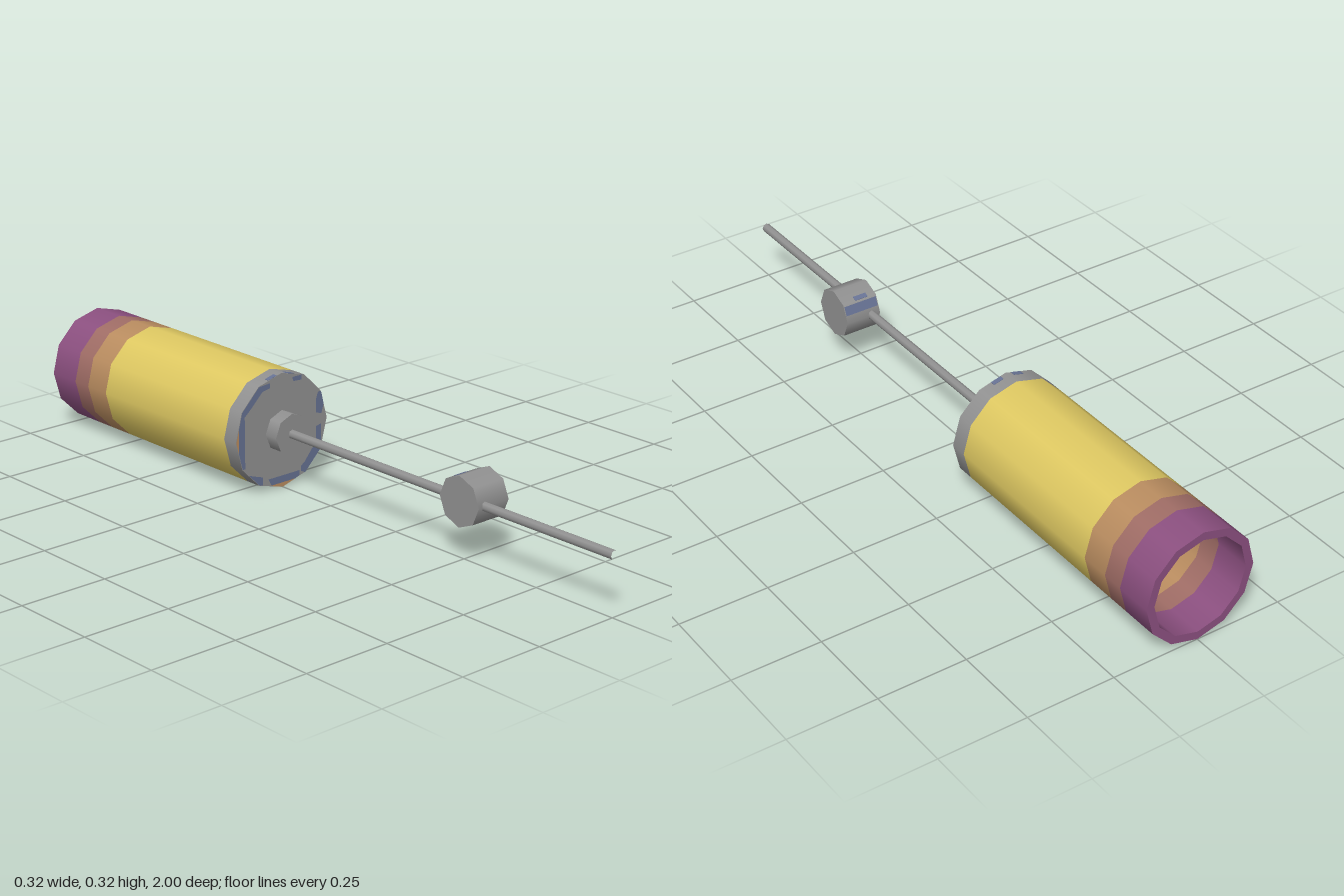
import * as THREE from 'three';

const AXIS_Y = 0.162, OUTER = 0.161, INNER = 0.138, FRONT = -0.195;

function makeMaterial(name, color) {
  const m = new THREE.MeshStandardMaterial({ color });
  m.name = name;
  return m;
}

export function createModel() {
  const group = new THREE.Group();
  const grey = makeMaterial('steel grey', 0x929292);
  const yellow = makeMaterial('yellow', 0xdfc962);
  const tan = makeMaterial('tan', 0xba8d60);
  const mauve = makeMaterial('mauve', 0xa06d66);
  const purple = makeMaterial('purple', 0x8c5080);
  const blue = makeMaterial('slate blue', 0x677293);

  const add = (name, geometry, material, x = 0, y = AXIS_Y, z = 0) => {
    const mesh = new THREE.Mesh(geometry, material);
    mesh.name = name;
    mesh.position.set(x, y, z);
    group.add(mesh);
    return mesh;
  };

  // solid or open cylinder lying along z between two depths
  const along = (r, z0, z1, sides, open = false) =>
    new THREE.CylinderGeometry(r, r, z1 - z0, sides, 1, open)
      .rotateX(Math.PI / 2).translate(0, 0, (z0 + z1) / 2);
  // twelve-sided wall: faces outward when run forward, inward when run backward
  const wall = (r, from, to) => new THREE.LatheGeometry(
    [new THREE.Vector2(r, from), new THREE.Vector2(r, to)], 12).rotateX(Math.PI / 2);

  // hollow barrel in colour bands, front to back
  const bands = [
    ['frontBand', grey, -0.243, FRONT],
    ['barrel', yellow, -0.757, -0.243],
    ['tanBand', tan, -0.838, -0.757],
    ['mauveBand', mauve, -0.897, -0.838],
    ['mouthBand', purple, -1, -0.897],
  ];
  bands.forEach(([name, material, z0, z1], i) => {
    add(name, wall(OUTER, z0, z1), material);
    if (i > 0) add(name + 'Inside', wall(INNER, z1, z0), material);
  });
  add('mouthRim', new THREE.RingGeometry(INNER, OUTER, 12).rotateY(Math.PI), purple, 0, AXIS_Y, -1);
  add('barrelFloor', new THREE.CircleGeometry(INNER, 12).rotateY(Math.PI), yellow, 0, AXIS_Y, -0.243);
  add('frontDisc', new THREE.CircleGeometry(OUTER, 12), grey, 0, AXIS_Y, FRONT);

  // worn paint patches near the rim of the front disc (absolute x, y)
  const patch = (name, material, points) => add(name,
    new THREE.ShapeGeometry(new THREE.Shape(points.map(p => new THREE.Vector2(...p)))),
    material, 0, 0, FRONT + 0.002);
  [
    [[-0.152, 0.13], [-0.14, 0.083], [-0.131, 0.083], [-0.131, 0.228], [-0.14, 0.242], [-0.152, 0.195]],
    [[-0.14, 0.242], [-0.131, 0.228], [-0.11, 0.246], [-0.068, 0.286], [-0.043, 0.29], [-0.043, 0.304], [-0.081, 0.301]],
    [[0.04, 0.292], [0.068, 0.29], [0.07, 0.304], [0.036, 0.304]],
    [[0.121, 0.185], [0.14, 0.178], [0.148, 0.205], [0.139, 0.242], [0.128, 0.243], [0.121, 0.225]],
    [[0.121, 0.146], [0.121, 0.095], [0.105, 0.085], [0.08, 0.055], [0.066, 0.045], [0.066, 0.03], [0.081, 0.023], [0.139, 0.081], [0.139, 0.15]],
    [[-0.05, 0.034], [-0.04, 0.014], [0.045, 0.014], [0.06, 0.02], [0.06, 0.034]],
    [[-0.119, 0.062], [-0.081, 0.024], [-0.07, 0.022], [-0.07, 0.045], [-0.1, 0.055]],
  ].forEach(points => patch('rimPatch', blue, points));
  patch('rimCornerLeft', tan, [[-0.161, 0.162], [-0.152, 0.13], [-0.152, 0.195]]);
  patch('rimCornerBottom', tan, [[0, 0.001], [0.045, 0.014], [-0.045, 0.014]]);

  // worn paint on the top edge of the front band
  for (const side of [-1, 1]) {
    const chip = new THREE.BoxGeometry(0.03, 0.002, 0.014)
      .translate(side * -0.01, OUTER * Math.cos(Math.PI / 12), FRONT - 0.008);
    add('bandPatch', chip, blue).rotation.z = -side * Math.PI / 12;
  }

  // collar, open-ended rod and cross-mounted knob
  const knobX = 0.0275, knobZ = 0.504, knobR = 0.069;
  add('collar', along(0.057, FRONT, -0.153, 8), grey);
  add('rod', along(0.0125, -0.16, 1, 8, true), grey);
  add('knob', new THREE.CylinderGeometry(knobR, knobR, 0.105, 8).rotateZ(Math.PI / 2), grey, knobX, AXIS_Y, knobZ);

  // painted patches on the knob's upper rear facets: facet angle, x, width, depth, shift
  for (const [angle, x, width, depth, shift] of [
    [Math.PI * 3 / 8, 0, 0.1, 0.026, 0.008],
    [Math.PI / 8, -0.007, 0.04, 0.014, -0.018],
  ]) {
    const plate = new THREE.BoxGeometry(width, 0.002, depth)
      .translate(x, knobR * Math.cos(Math.PI / 8), shift);
    add('knobPatch', plate, blue, knobX, AXIS_Y, knobZ).rotation.x = -angle;
  }

  return group;
}
